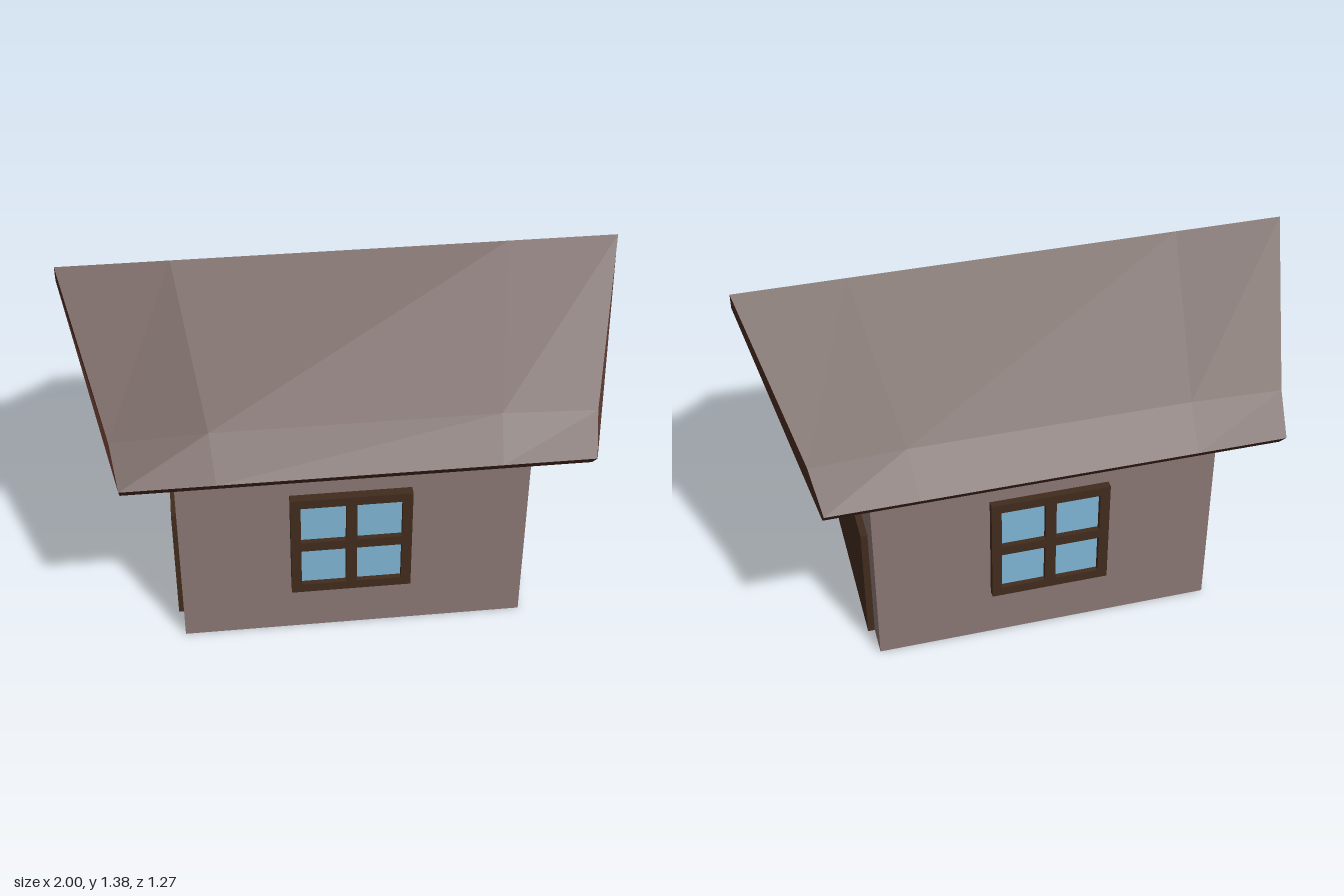
import * as THREE from 'three';

const paint = (color) => new THREE.MeshStandardMaterial({ color, flatShading: true });

function add(parent, name, geometry, material, x = 0, y = 0, z = 0) {
  const mesh = new THREE.Mesh(geometry, material);
  mesh.name = name;
  mesh.position.set(x, y, z);
  parent.add(mesh);
  return mesh;
}

const polygon = (points) => new THREE.Shape(points.map(([x, y]) => new THREE.Vector2(x, y)));

// Roof: one closed chevron profile, swept through stations along x.
// The ends slant inward from ridge to eave, and the slopes swell slightly.
function roofGeometry() {
  const profile = [ // z, y, swell
    [0, 1.385, 0], [0.5, 0.987, 0.014], [0.635, 0.88, 0], [0.58, 0.82, 0],
    [0, 1.33, 0], [-0.58, 0.82, 0], [-0.635, 0.88, 0], [-0.5, 0.987, 0.014],
  ];
  const stations = [-1, -0.6, 0.6, 1];
  const n = profile.length;
  const positions = [], index = [];
  stations.forEach((s) => {
    const inner = Math.abs(s) < 1;
    for (const [z, y, swell] of profile) {
      const halfLength = 1 - 0.18 * Math.min(1, Math.abs(z) / 0.58);
      positions.push(s * halfLength, y + (inner ? swell : 0), z);
    }
  });
  for (let s = 0; s < stations.length - 1; s++) {
    for (let i = 0; i < n; i++) {
      const a = s * n + i, b = s * n + (i + 1) % n;
      index.push(a, b, a + n, b, b + n, a + n);
    }
  }
  // End caps, triangulated from the profile
  const outline = profile.map(([z, y]) => new THREE.Vector2(z, y));
  const last = (stations.length - 1) * n;
  for (const [a, b, c] of THREE.ShapeUtils.triangulateShape(outline, [])) {
    const [p, q, r] = [outline[a], outline[b], outline[c]];
    const ccw = (q.x - p.x) * (r.y - p.y) - (q.y - p.y) * (r.x - p.x) > 0;
    const [u, v] = ccw ? [b, c] : [c, b];
    index.push(a, u, v, last + a, last + v, last + u);
  }
  const geometry = new THREE.BufferGeometry();
  geometry.setAttribute('position', new THREE.Float32BufferAttribute(positions, 3));
  geometry.setIndex(index);
  const flat = geometry.toNonIndexed();
  flat.computeVertexNormals();
  return flat;
}

// Window: frame with four openings and a recessed sheet of glass
function makeWindow(name, wood, glass) {
  const group = new THREE.Group();
  group.name = name;
  const h = 0.222;
  const shape = polygon([[-h, -h], [h, -h], [h, h], [-h, h]]);
  for (const sx of [-1, 1]) {
    for (const sy of [-1, 1]) {
      const [a, b] = [0.02, 0.185];
      shape.holes.push(polygon([
        [sx * a, sy * a], [sx * a, sy * b], [sx * b, sy * b], [sx * b, sy * a],
      ]));
    }
  }
  const frame = new THREE.ExtrudeGeometry(shape, { depth: 0.035, bevelEnabled: false });
  add(group, 'windowFrame', frame, wood);
  add(group, 'windowGlass', new THREE.BoxGeometry(0.4, 0.4, 0.015), glass, 0, 0, 0.0075);
  return group;
}

export function createModel() {
  const house = new THREE.Group();
  house.name = 'house';
  const wall = paint(0x8b7774);
  const roof = paint(0x4a2a20);
  const wood = paint(0x422c1d);
  const glass = paint(0x7fb5d5);
  roof.side = THREE.DoubleSide;

  // Walls with gables
  const gable = polygon([[-0.445, 0], [0.445, 0], [0.445, 0.945], [0, 1.332], [-0.445, 0.945]]);
  const walls = new THREE.ExtrudeGeometry(gable, { depth: 1.28, bevelEnabled: false });
  walls.translate(0, 0, -0.64).rotateY(Math.PI / 2);
  add(house, 'walls', walls, wall);

  add(house, 'roof', roofGeometry(), roof);

  // Wide doors on both gable ends
  add(house, 'leftDoor', new THREE.BoxGeometry(0.045, 0.488, 0.655), wood, 0.643, 0.245, -0.003);
  add(house, 'rightDoor', new THREE.BoxGeometry(0.04, 0.488, 0.655), wood, -0.642, 0.245, -0.003);

  // Windows on the front and back walls
  const front = makeWindow('frontWindow', wood, glass);
  front.position.set(-0.012, 0.428, 0.445);
  const back = makeWindow('backWindow', wood, glass);
  back.position.set(-0.012, 0.428, -0.438);
  back.rotation.y = Math.PI;
  house.add(front, back);

  return house;
}
